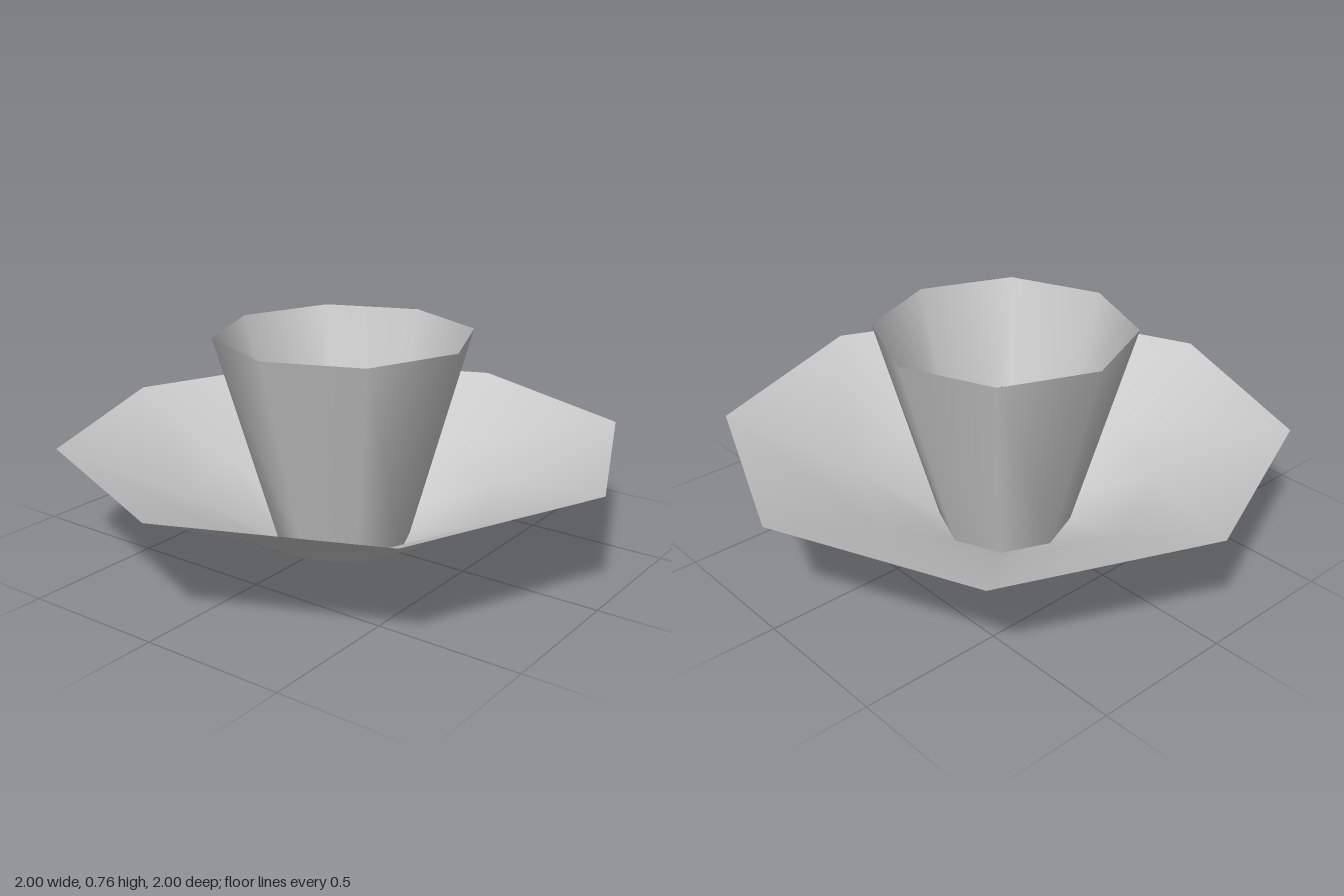
import * as THREE from 'three';

const material = new THREE.MeshStandardMaterial({ color: 0xcccccc, side: THREE.DoubleSide });

// Thin eight-sided shell turned around the y axis
function shell(name, profile) {
  const points = profile.map(([r, y]) => new THREE.Vector2(r, y));
  const mesh = new THREE.Mesh(new THREE.LatheGeometry(points, 8), material);
  mesh.name = name;
  return mesh;
}

// Open fan of triangles rising from a point on the axis, with a gap towards -x
function fan(name, rim, height) {
  const positions = [0, 0, 0];
  const index = [];
  rim.forEach(([x, z], i) => {
    positions.push(x, height, z);
    if (i > 0) index.push(0, i, i + 1);
  });
  const geometry = new THREE.BufferGeometry();
  geometry.setAttribute('position', new THREE.Float32BufferAttribute(positions, 3));
  geometry.setIndex(index);
  geometry.computeVertexNormals();
  const mesh = new THREE.Mesh(geometry, material);
  mesh.name = name;
  return mesh;
}

export function createModel() {
  const group = new THREE.Group();
  group.name = 'flower';

  // Wide spreading petals and the upright cup share the open base ring
  group.add(shell('outerPetals', [[0.24, 0], [0.55, 0.18], [1, 0.39]]));
  group.add(shell('innerCup', [[0.24, 0], [0.457, 0.76]]));

  // Folded blade standing inside the cup
  const rim = [[-0.1, -0.123], [0.075, -0.092], [0.19, 0], [0.075, 0.092], [-0.1, 0.123]];
  group.add(fan('stamen', rim, 0.46));

  return group;
}
